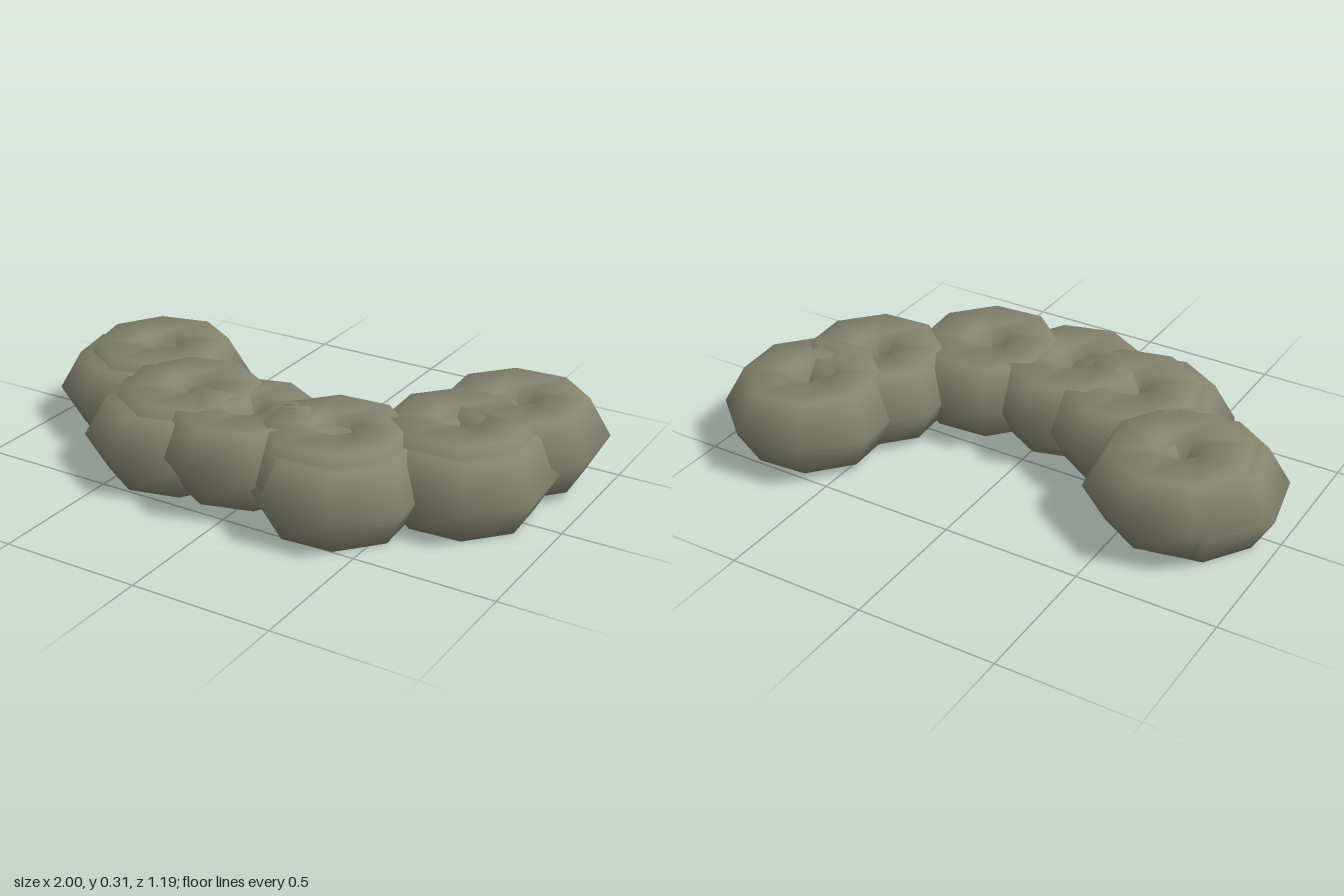
import * as THREE from 'three';

export function createModel() {
  const group = new THREE.Group();
  const canvas = new THREE.MeshStandardMaterial({ color: 0x85856f });
  canvas.name = 'olive canvas';

  const ring = 0.163, tube = 0.16;
  const half = tube * Math.sin(Math.PI / 3); // half height of a hexagonal tube

  // One puffy bag: a smooth low-poly ring lying flat; turn is the angle of a corner from +x to +z
  const bag = (name, x, z, y, turn) => {
    const geometry = new THREE.TorusGeometry(ring, tube, 6, 8);
    geometry.rotateZ(THREE.MathUtils.degToRad(turn));
    geometry.rotateX(Math.PI / 2);
    const mesh = new THREE.Mesh(geometry, canvas);
    mesh.name = name;
    mesh.position.set(x, y, z);
    group.add(mesh);
  };

  // Lower course: x, z, turn
  const lower = [
    [-0.683, -0.02, 11],
    [-0.358, 0.25, 9],
    [0.312, 0.28, 18.5],
    [0.635, 0.003, 19],
  ];
  // Upper course, set slightly inward and filling the gaps
  const upper = [
    [-0.646, -0.07, 9],
    [-0.32, 0.205, 9],
    [-0.06, 0.26, 7],
    [0.275, 0.235, 18.5],
    [0.6, -0.035, 19],
    [0.69, -0.295, 18.5],
  ];
  lower.forEach(([x, z, turn], i) => bag('lowerBag' + (i + 1), x, z, half, turn));
  upper.forEach(([x, z, turn], i) => bag('upperBag' + (i + 1), x, z, half + 0.034, turn));

  return group;
}
